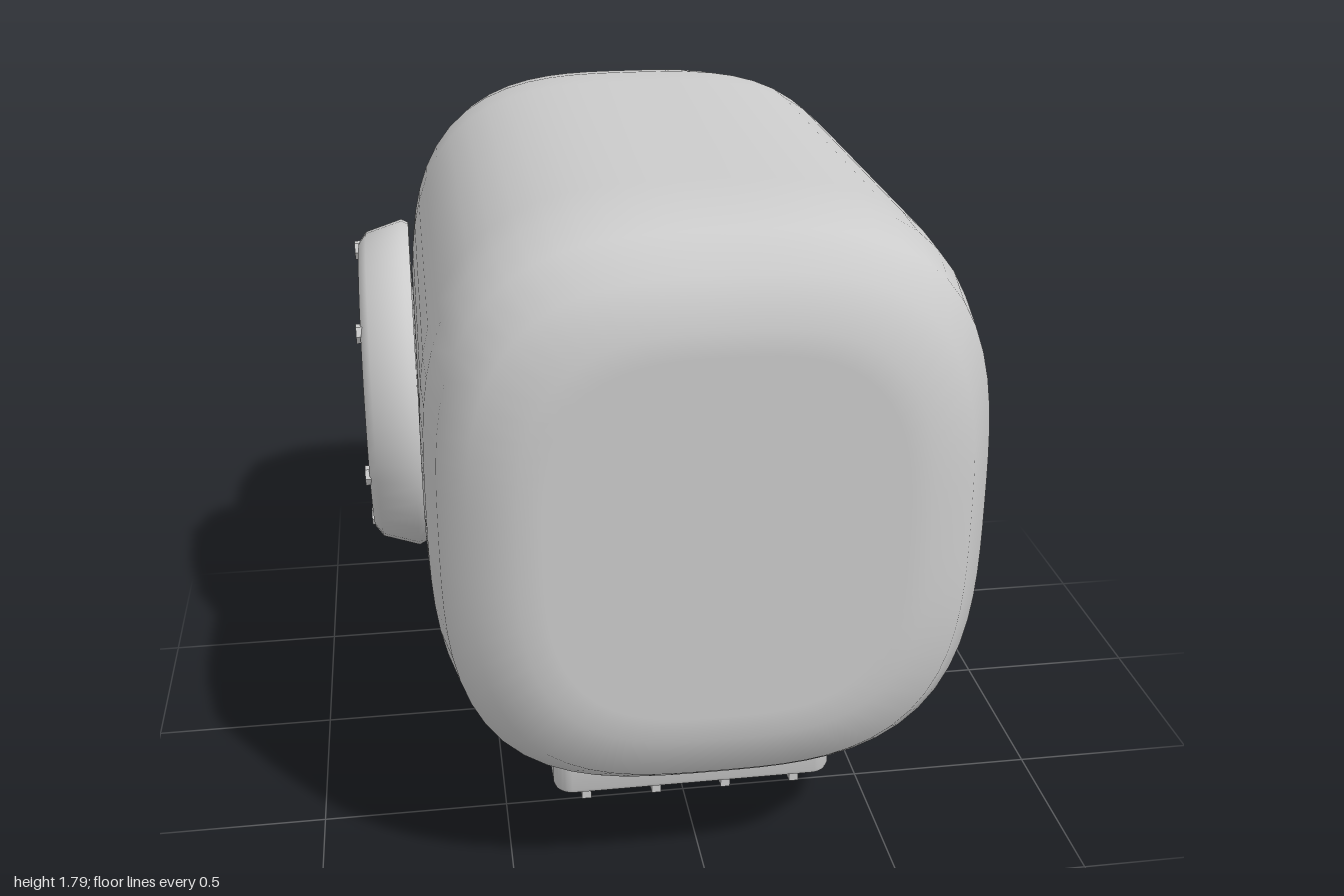
import * as THREE from 'three';
import { mergeVertices, toCreasedNormals } from 'three/addons/utils/BufferGeometryUtils.js';

const grey = new THREE.MeshStandardMaterial({ color: 0xcccccc });
const v2 = ([x, y]) => new THREE.Vector2(x, y);

function add(parent, name, geometry, x = 0, y = 0, z = 0) {
  const mesh = new THREE.Mesh(geometry, grey);
  mesh.name = name;
  mesh.position.set(x, y, z);
  parent.add(mesh);
  return mesh;
}

// Rounded-square barrel: a lathe whose circles are pushed out to superellipses
function barrelGeometry() {
  const end = [[0, 1], [0.35, 1], [0.62, 1], [0.705, 1], [0.86, 0.96], [0.956, 0.86], [0.993, 0.7], [1, 0.55]];
  const profile = [
    ...end.map(([r, z]) => [r, -z]),
    [1, 0],
    ...end.slice().reverse(),
  ].map(v2);
  let geo = new THREE.LatheGeometry(profile, 72);
  geo.rotateX(Math.PI / 2);
  const p = geo.attributes.position;
  for (let i = 0; i < p.count; i++) {
    const x = p.getX(i), y = p.getY(i), z = p.getZ(i);
    const r = Math.hypot(x, y);
    if (r < 1e-6) continue;
    const n = 2.75 + 0.4 * r;
    const c = Math.abs(x / r), s = Math.abs(y / r);
    const k = 1 / Math.pow(c ** n + s ** n, 1 / n);
    p.setXYZ(i, x * k * 0.7, y * k * 0.76, z);
  }
  geo.deleteAttribute('uv');
  geo.deleteAttribute('normal');
  geo = mergeVertices(geo, 1e-4);
  geo.computeVertexNormals();
  return geo;
}

// Rounded slab lying flat, with small bevels on its top and bottom edges
function slabGeometry(w, h, d, r, b) {
  const x = w / 2 - b, y = d / 2 - b;
  const s = new THREE.Shape();
  s.moveTo(-x + r, -y);
  s.lineTo(x - r, -y);
  s.absarc(x - r, -y + r, r, -Math.PI / 2, 0);
  s.absarc(x - r, y - r, r, 0, Math.PI / 2);
  s.absarc(-x + r, y - r, r, Math.PI / 2, Math.PI);
  s.absarc(-x + r, -y + r, r, Math.PI, Math.PI * 1.5);
  const geo = new THREE.ExtrudeGeometry(s, {
    depth: h - 2 * b, bevelEnabled: true, bevelSize: b, bevelThickness: b, bevelSegments: 2, curveSegments: 6,
  });
  geo.translate(0, 0, b);
  geo.rotateX(-Math.PI / 2);
  return toCreasedNormals(geo, 0.6);
}

// Round cover facing sideways (side is +1 or -1), with a ring of hex bolts
function cover({ name, side, x, y, z, profile, crease, count, boltRadius, start }) {
  const group = new THREE.Group();
  group.name = name;
  group.position.set(x, y, z);
  const disc = new THREE.LatheGeometry(profile.map(v2), 48);
  disc.rotateZ(-side * Math.PI / 2);
  add(group, 'coverPlate', toCreasedNormals(disc, crease));
  const front = profile[profile.length - 1][1];
  for (let i = 0; i < count; i++) {
    const a = start + (i / count) * Math.PI * 2;
    const bolt = new THREE.CylinderGeometry(0.028, 0.028, 0.04, 6).toNonIndexed();
    bolt.rotateZ(-side * Math.PI / 2);
    add(group, 'coverBolt', toCreasedNormals(bolt, 0.5),
      side * (front - 0.008), boltRadius * Math.sin(a), boltRadius * Math.cos(a));
  }
  return group;
}

export function createModel() {
  const model = new THREE.Group();
  model.name = 'gearHousing';

  add(model, 'housing', barrelGeometry(), 0.02, 1.03, 0);

  // Sump under the housing, with cooling ribs and a drain plug
  add(model, 'sump', slabGeometry(0.775, 0.215, 1.29, 0.04, 0.015), 0.018, 0.075, -0.055);
  for (const x of [-0.277, -0.08, 0.117, 0.314]) {
    add(model, 'coolingRib', new THREE.BoxGeometry(0.026, 0.08, 1.17), x, 0.055, -0.058);
  }
  const plug = new THREE.CylinderGeometry(0.064, 0.064, 0.09, 6);
  plug.rotateY(Math.PI / 6);
  add(model, 'drainPlug', toCreasedNormals(plug, 0.5), 0.02, 0.045, 0.355);

  // Large cover on the model's right, small cover on its left
  model.add(cover({
    name: 'largeCover', side: -1, x: -0.68, y: 0.94, z: -0.36,
    profile: [[0, 0], [0.48, 0], [0.49, 0.02], [0.457, 0.125], [0.425, 0.148], [0, 0.148]],
    crease: 0.8, count: 6, boltRadius: 0.405, start: (42.5 * Math.PI) / 180,
  }));
  model.add(cover({
    name: 'smallCover', side: 1, x: 0.715, y: 0.85, z: -0.71,
    profile: [[0, 0], [0.235, 0], [0.24, 0.025], [0.226, 0.08], [0.2, 0.102], [0, 0.102]],
    crease: 0.45, count: 3, boltRadius: 0.207, start: (43 * Math.PI) / 180,
  }));
  return model;
}
